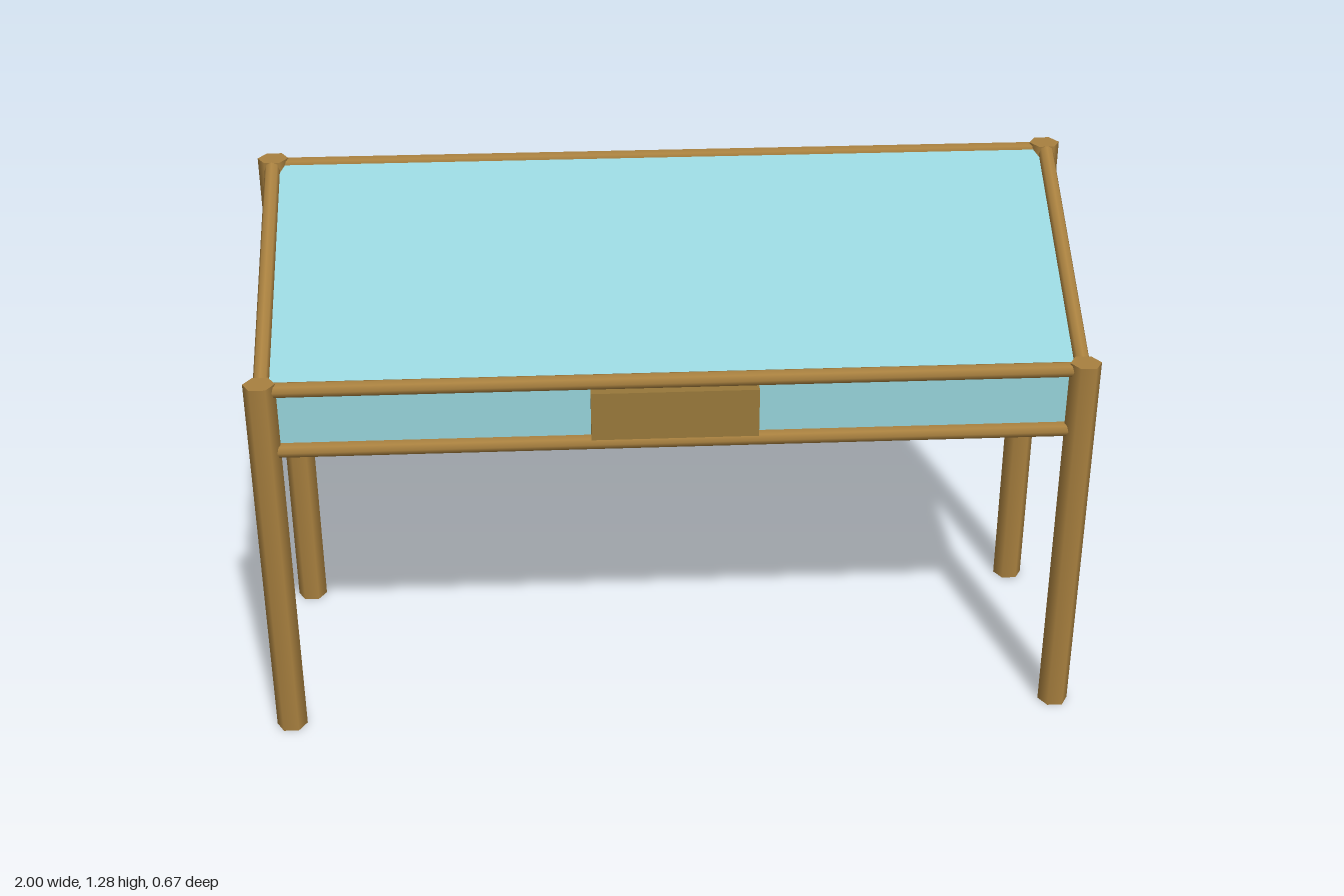
import * as THREE from 'three';

const wood = new THREE.MeshStandardMaterial({ color: 0xa8803f });
const drawerWood = new THREE.MeshStandardMaterial({ color: 0x98783a });
const blue = new THREE.MeshStandardMaterial({ color: 0x96d2da, side: THREE.DoubleSide });
const brown = new THREE.MeshStandardMaterial({ color: 0x7a4f30, side: THREE.DoubleSide });

const X = 0.963, Z = 0.301;            // post centres
const FLOOR = 0.78, R = 0.0187;        // lower rail height, rail radius
const ZF = 0.296, ZB = -0.304;         // front and back panel planes
const slope = z => 1.096 - 0.594 * z;  // height of the slanted top

export function createModel() {
  const model = new THREE.Group();

  const add = (name, geometry, material) => {
    const mesh = new THREE.Mesh(geometry, material);
    mesh.name = name;
    model.add(mesh);
    return mesh;
  };

  // Round rail between two points
  const rail = (name, a, b) => {
    const from = new THREE.Vector3(...a), to = new THREE.Vector3(...b);
    const dir = to.clone().sub(from);
    const mesh = add(name, new THREE.CylinderGeometry(R, R, dir.length(), 8), wood);
    mesh.position.copy(from).add(to).multiplyScalar(0.5);
    mesh.quaternion.setFromUnitVectors(new THREE.Vector3(0, 1, 0), dir.normalize());
  };

  // Flat four-cornered panel, corners counter-clockwise from outside
  const panel = (name, corners, material) => {
    const g = new THREE.BufferGeometry();
    g.setAttribute('position', new THREE.Float32BufferAttribute(corners.flat(), 3));
    g.setIndex([0, 1, 2, 0, 2, 3]);
    g.computeVertexNormals();
    add(name, g, material);
  };

  // Six-sided corner posts and the rails along each side
  for (const s of [-1, 1]) {
    const side = s > 0 ? 'left' : 'right';
    for (const [end, z, h] of [['Front', Z, 0.957], ['Back', -Z, 1.275]]) {
      const post = add(side + end + 'Post', new THREE.CylinderGeometry(0.0375, 0.0375, h, 6), wood);
      post.rotation.y = Math.PI / 2;
      post.position.set(s * X, h / 2, z);
    }
    rail(side + 'LowerRail', [s * X, FLOOR, Z], [s * X, FLOOR, -Z]);
    rail(side + 'SlantedRail', [s * X, slope(0.28), 0.28], [s * X, slope(-0.277), -0.277]);

    const corners = [
      [s * X, FLOOR, ZF], [s * X, FLOOR, ZB],
      [s * X, slope(ZB), ZB], [s * X, slope(ZF), ZF],
    ];
    panel(side + 'SidePanel', s > 0 ? corners : corners.reverse(), blue);
  }

  // Long rails across the front and back
  for (const [name, y, z] of [
    ['frontLowerRail', FLOOR, ZF], ['frontUpperRail', 0.938, ZF],
    ['backLowerRail', FLOOR, ZB], ['backUpperRail', 1.256, ZB],
  ]) rail(name, [-X, y, z], [X, y, z]);

  // Cabinet panels
  const yF = slope(ZF), yB = slope(ZB) - 0.006;
  panel('slantedTop', [[-X, yF, ZF], [X, yF, ZF], [X, yB, ZB], [-X, yB, ZB]], blue);
  panel('frontPanel', [[-X, FLOOR, ZF], [X, FLOOR, ZF], [X, yF, ZF], [-X, yF, ZF]], blue);
  panel('backPanel', [[X, FLOOR, ZB], [-X, FLOOR, ZB], [-X, 1.256, ZB], [X, 1.256, ZB]], brown);
  panel('bottomPanel', [[-X, FLOOR, ZB], [X, FLOOR, ZB], [X, FLOOR, ZF], [-X, FLOOR, ZF]], brown);

  // Drawer front
  add('drawerFront', new THREE.BoxGeometry(0.394, 0.122, 0.035), drawerWood).position.set(-0.003, 0.86, 0.3075);

  return model;
}
